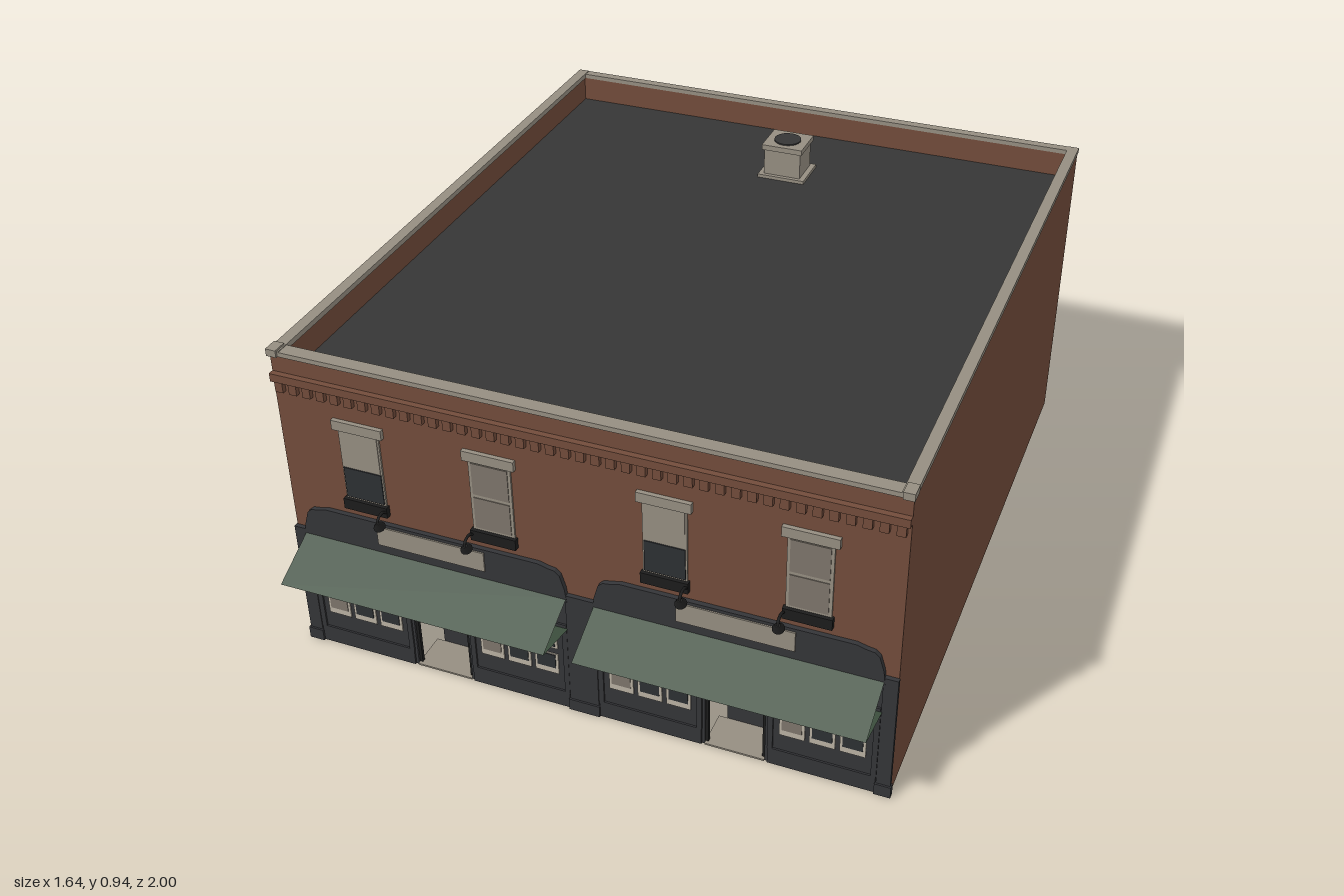
import * as THREE from 'three';

const mat = (name, color, side = THREE.FrontSide) => {
  const m = new THREE.MeshStandardMaterial({ color, side });
  m.name = name;
  return m;
};

export function createModel() {
  const brick = mat('brick', 0x724c3b);
  const roofing = mat('roofing', 0x363636);
  const stone = mat('stone', 0x958e81);
  const paint = mat('dark paint', 0x343538);
  const canvas = mat('green canvas', 0x3e503f, THREE.DoubleSide);
  const cream = mat('cream frame', 0xb9b1a3);
  const glass = mat('dark glass', 0x2d3033);
  const blind = mat('taupe blind', 0x7d756b);
  const iron = mat('black iron', 0x1c1c1c);

  const model = new THREE.Group();
  const add = (parent, name, geo, m) => {
    const mesh = new THREE.Mesh(geo, m);
    mesh.name = name;
    parent.add(mesh);
    return mesh;
  };
  // box given by its lower and upper limits on each axis
  const box = (parent, name, m, x0, x1, y0, y1, z0, z1) => {
    const mesh = add(parent, name, new THREE.BoxGeometry(x1 - x0, y1 - y0, z1 - z0), m);
    mesh.position.set((x0 + x1) / 2, (y0 + y1) / 2, (z0 + z1) / 2);
    return mesh;
  };
  const group = (name) => {
    const g = new THREE.Group();
    g.name = name;
    model.add(g);
    return g;
  };

  const W = 0.815, T = 0.025, BACK = -0.985, FRONT = 0.85, TOP = 0.905;

  // brick shell, open underneath, with a sunken flat roof
  const shell = group('brickShell');
  for (const s of [-1, 1]) {
    const a = s * W, b = s * (W - T);
    box(shell, 'sideWall', brick, Math.min(a, b), Math.max(a, b), 0, TOP, BACK, FRONT);
    box(shell, 'sideCoping', stone, Math.min(a, b) - 0.003, Math.max(a, b) + 0.003, TOP, 0.92, BACK, FRONT + 0.004);
    box(shell, 'copingEnd', stone, s * 0.805 - 0.014, s * 0.805 + 0.014, TOP, 0.925, FRONT - 0.03, FRONT + 0.01);
  }
  box(shell, 'backWall', brick, -W + T, W - T, 0, TOP, BACK, BACK + T);
  box(shell, 'frontWall', brick, -W + T, W - T, 0.3, TOP, FRONT - 0.03, FRONT);
  box(shell, 'backCoping', stone, -W + T, W - T, TOP, 0.918, BACK - 0.003, BACK + T);
  box(shell, 'frontCoping', stone, -W + T, W - T, TOP, 0.918, FRONT - 0.034, FRONT + 0.004);
  box(shell, 'roof', roofing, -W + T, W - T, 0.82, 0.832, BACK + T, FRONT - 0.03);

  // corbelled brick cornice
  const cornice = group('cornice');
  box(cornice, 'corniceBand', brick, -W, W, 0.835, 0.858, FRONT, FRONT + 0.016);
  for (let i = 0; i < 42; i++) {
    const x = -0.795 + i * (1.59 / 41);
    box(cornice, 'corbel', brick, x - 0.011, x + 0.011, 0.805, 0.835, FRONT, FRONT + 0.013);
  }

  // roof ventilator
  const vent = group('roofVent');
  box(vent, 'ventFlange', stone, -0.072, 0.072, 0.832, 0.842, -0.75, -0.626);
  box(vent, 'ventBody', stone, -0.056, 0.056, 0.842, 0.925, -0.738, -0.638);
  box(vent, 'ventCap', stone, -0.062, 0.062, 0.922, 0.938, -0.745, -0.631);
  const fan = add(vent, 'ventFan', new THREE.CylinderGeometry(0.04, 0.04, 0.004, 20), roofing);
  fan.position.set(0, 0.94, -0.688);

  // upper windows with lintel, sash and iron sill
  [-0.588, -0.228, 0.228, 0.588].forEach((x, i) => {
    const g = group('upperWindow');
    const half = i % 2 === 0;
    box(g, 'windowFrame', stone, x - 0.057, x + 0.057, 0.515, 0.728, FRONT, FRONT + 0.005);
    if (half) {
      box(g, 'rollerBlind', stone, x - 0.052, x + 0.052, 0.615, 0.725, FRONT, FRONT + 0.007);
      box(g, 'lowerPane', glass, x - 0.053, x + 0.053, 0.523, 0.613, FRONT, FRONT + 0.008);
    } else {
      box(g, 'upperPane', blind, x - 0.049, x + 0.049, 0.627, 0.72, FRONT, FRONT + 0.007);
      box(g, 'lowerPane', blind, x - 0.049, x + 0.049, 0.525, 0.617, FRONT, FRONT + 0.007);
    }
    box(g, 'lintel', stone, x - 0.07, x + 0.07, 0.727, 0.755, FRONT, FRONT + 0.012);
    box(g, 'sill', iron, x - 0.062, x + 0.062, 0.487, 0.518, FRONT, FRONT + 0.015);
  });

  // gooseneck sign lamps
  for (const x of [-0.53, -0.285, 0.285, 0.53]) {
    const g = group('signLamp');
    const neck = new THREE.CatmullRomCurve3([[0.85, 0.495], [0.88, 0.515], [0.9, 0.512], [0.908, 0.498]]
      .map(([z, y]) => new THREE.Vector3(x, y, z)));
    add(g, 'lampNeck', new THREE.TubeGeometry(neck, 10, 0.004, 6), iron);
    const shade = add(g, 'lampShade', new THREE.CylinderGeometry(0.006, 0.016, 0.018, 12), iron);
    shade.position.set(x, 0.492, 0.902);
    shade.rotation.x = 0.45;
  }

  // storefront wall with two open doorways
  const front = group('storefront');
  const outline = [[-W, 0]];
  for (const c of [-0.41, 0.41]) outline.push([c - 0.08, 0], [c - 0.08, 0.28], [c + 0.08, 0.28], [c + 0.08, 0]);
  outline.push([W, 0], [W, 0.38], [-W, 0.38]);
  const wall = new THREE.Shape(outline.map(([x, y]) => new THREE.Vector2(x, y)));
  const wallMesh = add(front, 'storefrontWall', new THREE.ExtrudeGeometry(wall, { depth: 0.006, bevelEnabled: false }), paint);
  wallMesh.position.z = FRONT;
  for (const [x0, x1] of [[-0.817, -0.78], [-0.04, 0.04], [0.78, 0.817]]) {
    box(front, 'pilaster', paint, x0, x1, 0, 0.38, FRONT, 0.862);
    box(front, 'pilasterBase', paint, x0 - 0.003, x1 + 0.003, 0, 0.035, FRONT, 0.867);
  }

  // each shop: sign board, awning, display windows and recessed door
  for (const c of [-0.41, 0.41]) {
    const g = group('shop');
    const half = [[0.375, 0.36], [0.37, 0.4], [0.358, 0.44], [0.345, 0.452], [0.325, 0.455], [0.3, 0.462]];
    const pts = [...half, ...half.slice().reverse().map(([x, y]) => [-x, y])];
    const board = new THREE.Shape(pts.map(([x, y]) => new THREE.Vector2(x, y)));
    const sign = add(g, 'signBoard', new THREE.ExtrudeGeometry(board, { depth: 0.013, bevelEnabled: false }), paint);
    sign.position.set(c, 0, FRONT);
    box(g, 'signPlate', stone, c - 0.152, c + 0.152, 0.395, 0.453, 0.863, 0.867);

    // awning: sloped sheet and lower sheet, ends open
    const profile = [[0.37, 0.86], [0.3, 1], [0.27, 0.86]];
    for (let k = 0; k < 2; k++) {
      const [[y0, z0], [y1, z1]] = [profile[k], profile[k + 1]];
      const sheet = add(g, k ? 'awningUnderside' : 'awningTop', new THREE.PlaneGeometry(0.745, Math.hypot(y1 - y0, z1 - z0)), canvas);
      sheet.position.set(c, (y0 + y1) / 2, (z0 + z1) / 2);
      sheet.rotation.x = Math.atan2(z0 - z1, y0 - y1);
    }

    // display windows, three by two panes on each side of the door
    for (const s of [-1, 1]) {
      const m = c + s * 0.228;
      box(g, 'bulkhead', paint, m - 0.14, m + 0.14, 0, 0.052, FRONT, 0.861);
      box(g, 'windowHead', paint, m - 0.14, m + 0.14, 0.268, 0.28, FRONT, 0.861);
      for (const e of [-1, 1]) box(g, 'windowPost', paint, m + e * 0.134 - 0.007, m + e * 0.134 + 0.007, 0.05, 0.27, FRONT, 0.861);
      for (let col = -1; col <= 1; col++) {
        for (const y of [0.138, 0.223]) {
          const x = m + col * 0.078;
          box(g, 'paneFrame', cream, x - 0.033, x + 0.033, y - 0.033, y + 0.033, FRONT, 0.859);
          const dy = y < 0.2 ? 0.008 : -0.004;
          box(g, 'pane', col < 0 ? blind : glass, x - 0.026, x + 0.026, y - 0.022 + dy, y + 0.022 + dy, FRONT, 0.861);
        }
      }
      box(g, 'doorJamb', iron, c + s * 0.076 - 0.004, c + s * 0.076 + 0.004, 0, 0.28, 0.84, FRONT);
    }
    box(g, 'door', paint, c - 0.057, c + 0.057, 0, 0.248, 0.745, 0.755);
    box(g, 'doorHandle', cream, c + 0.042, c + 0.047, 0.09, 0.14, 0.755, 0.763);
    box(g, 'doorstep', stone, c - 0.08, c + 0.08, 0, 0.005, 0.755, 0.86);
  }

  // interior rail and row of hanging panels
  const inside = group('interior');
  for (const y of [0.015, 0.095]) {
    box(inside, 'backRail', iron, -0.775, 0.775, y, y + 0.01, 0.07, 0.08);
    for (const s of [-1, 1]) box(inside, 'sideRail', iron, s * 0.775 - 0.005, s * 0.775 + 0.005, y, y + 0.01, 0.07, 0.82);
  }
  for (let i = -3; i <= 3; i++) box(inside, 'wallPanel', glass, i * 0.187 - 0.08, i * 0.187 + 0.08, 0.24, 0.31, 0.07, 0.076);

  // rear openings
  const rear = group('rearOpenings');
  const rearWindow = (x, y0, y1) => {
    box(rear, 'rearWindowFrame', stone, x - 0.06, x + 0.06, y0, y1, BACK - 0.006, BACK);
    box(rear, 'rearWindowPane', blind, x - 0.05, x + 0.05, y0 + 0.012, y1 - 0.012, BACK - 0.008, BACK);
    box(rear, 'rearSill', stone, x - 0.065, x + 0.065, y0 - 0.012, y0 + 0.004, -1, BACK);
  };
  rearWindow(0.655, 0.49, 0.67);
  rearWindow(-0.655, 0.49, 0.67);
  rearWindow(-0.655, 0.11, 0.245);
  box(rear, 'rearDoorFrame', stone, 0.597, 0.713, 0, 0.235, BACK - 0.006, BACK);
  for (const s of [-1, 1]) {
    const x = 0.655 + s * 0.025;
    box(rear, 'rearDoorLeaf', blind, x - 0.022, x + 0.022, 0.006, 0.222, BACK - 0.008, BACK);
  }
  const pipe = add(rear, 'wallPipe', new THREE.CylinderGeometry(0.007, 0.007, 0.18, 10), stone);
  pipe.position.set(-0.487, 0.21, BACK - 0.008);
  box(rear, 'pipeMeter', stone, -0.5, -0.474, 0.12, 0.15, -1, BACK);

  return model;
}
